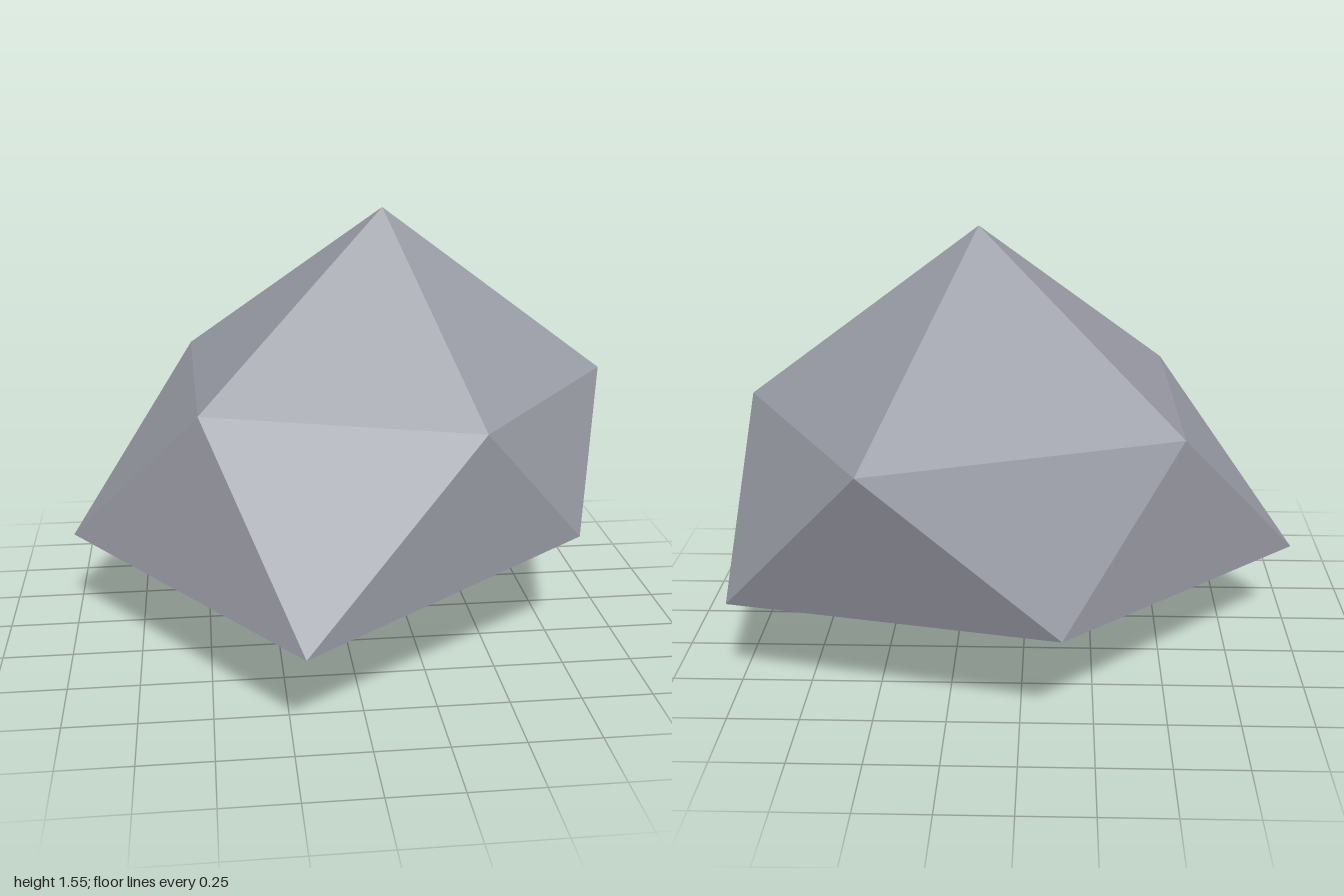
import * as THREE from 'three';

// A faceted boulder: a top point, two staggered five-point rings and a bottom point.
const TOP = [0.16, 1.555, -0.06];
const BOTTOM = [0.16, 0, -0.06];
const UPPER = [[0.99, 0.935, -0.06], [0.41, 0.935, 0.67], [-0.52, 0.94, 0.4], [-0.54, 0.95, -0.54], [0.48, 1, -1]];
const LOWER = [[0.82, 0.44, 0.39], [-0.21, 0.33, 0.99], [-1, 0.34, -0.06], [-0.14, 0.4, -0.9], [1, 0.375, -0.63]];

function boulderGeometry() {
  const corners = [];
  for (let k = 0; k < 5; k++) {
    const n = (k + 1) % 5;
    corners.push(
      TOP, UPPER[n], UPPER[k], // crown
      UPPER[k], UPPER[n], LOWER[k], // side band
      LOWER[k], UPPER[n], LOWER[n],
      BOTTOM, LOWER[k], LOWER[n], // underside
    );
  }
  const geometry = new THREE.BufferGeometry();
  geometry.setAttribute('position', new THREE.Float32BufferAttribute(corners.flat(), 3));
  geometry.computeVertexNormals();
  return geometry;
}

export function createModel() {
  const stone = new THREE.MeshStandardMaterial({ color: 0x9a9ca6, flatShading: true });
  stone.name = 'grey stone';

  const boulder = new THREE.Mesh(boulderGeometry(), stone);
  boulder.name = 'boulder';

  const model = new THREE.Group();
  model.name = 'rock';
  model.add(boulder);
  return model;
}
